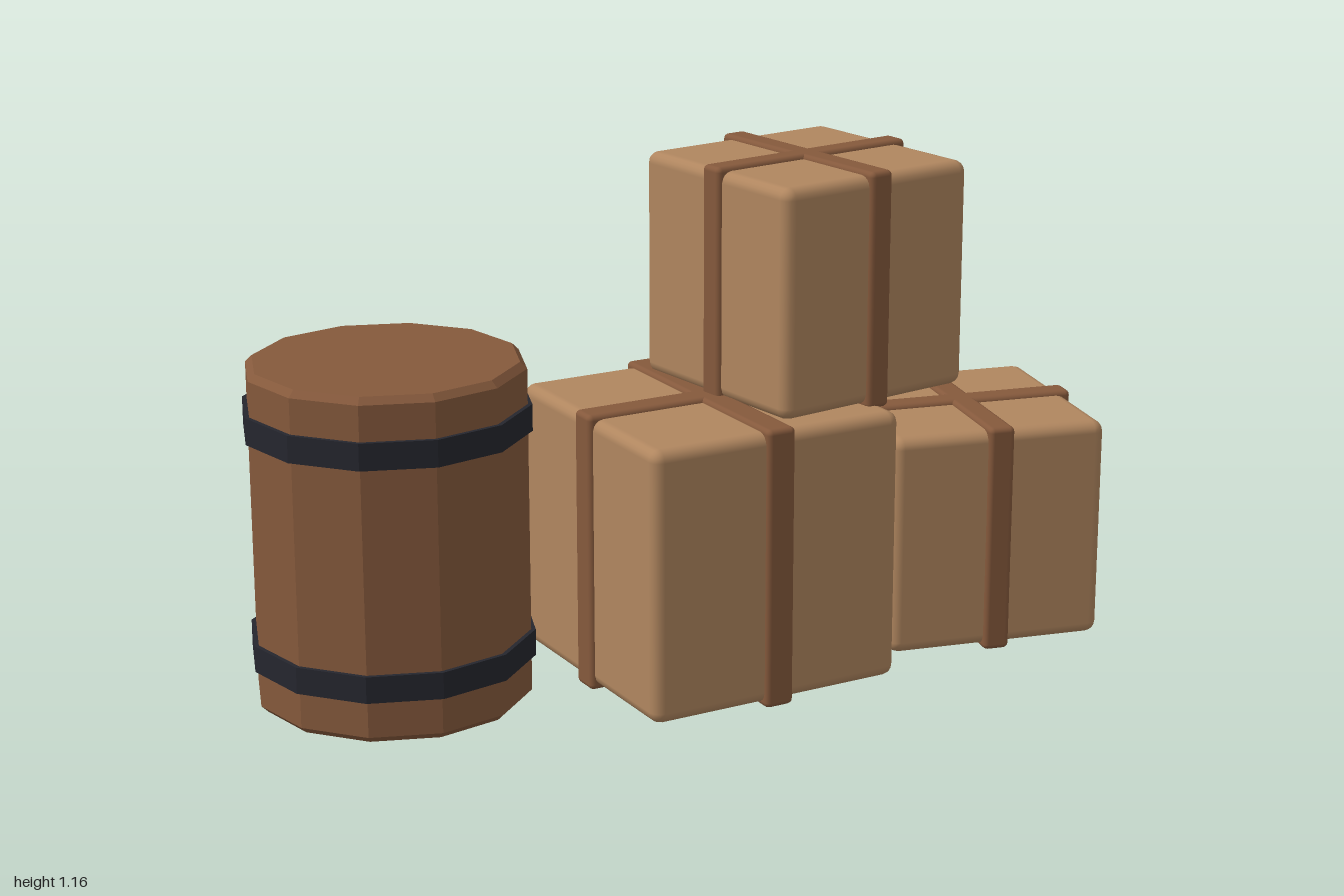
import * as THREE from 'three';
import { RoundedBoxGeometry } from 'three/addons/geometries/RoundedBoxGeometry.js';

const material = (name, color) => {
  const m = new THREE.MeshStandardMaterial({ color });
  m.name = name;
  return m;
};

// Twelve-sided turned shape with faceted normals
function faceted(profile) {
  const points = profile.map(([r, y]) => new THREE.Vector2(r, y));
  const geometry = new THREE.LatheGeometry(points, 12).toNonIndexed();
  geometry.computeVertexNormals();
  return geometry;
}

export function createModel() {
  const crateTan = material('crate tan', 0xb0865f);
  const woodBrown = material('wood brown', 0x85593c);
  const ironBlack = material('dark iron', 0x25262e);

  const model = new THREE.Group();
  model.name = 'crateStack';

  const add = (parent, name, geometry, mat) => {
    const mesh = new THREE.Mesh(geometry, mat);
    mesh.name = name;
    parent.add(mesh);
    return mesh;
  };

  // Rounded crate wrapped by two crossing straps
  function addCrate(name, size, strapWidth, x, y, z, turn) {
    const crate = new THREE.Group();
    crate.name = name;
    crate.position.set(x, y, z);
    crate.rotation.y = turn;
    add(crate, 'crateBody', new RoundedBoxGeometry(size, size, size, 2, 0.026), crateTan);
    const outer = size + 0.02;
    for (const [strapName, angle] of [['lengthStrap', 0], ['crossStrap', Math.PI / 2]]) {
      const strap = add(crate, strapName,
        new RoundedBoxGeometry(strapWidth, outer, outer, 2, 0.012), woodBrown);
      strap.rotation.y = angle;
    }
    model.add(crate);
  }
  addCrate('largeCrate', 0.62, 0.07, 0.038, 0.32, 0.043, 0.085);
  addCrate('topCrate', 0.515, 0.06, 0.299, 0.889, -0.005, 0.21);
  addCrate('sideCrate', 0.515, 0.062, 0.711, 0.268, -0.005, -0.14);

  // Barrel with chamfered rims
  const barrel = new THREE.Group();
  barrel.name = 'barrel';
  barrel.position.set(-0.682, 0, -0.06);
  const r = 0.308;
  add(barrel, 'barrelBody', faceted([
    [0, 0.01], [r - 0.015, 0.01], [r, 0.025], [r, 0.763], [r - 0.015, 0.778], [0, 0.778],
  ]), woodBrown);

  // Iron hoops
  for (const [name, y] of [['lowerHoop', 0.137], ['upperHoop', 0.654]]) {
    const hoop = add(barrel, name, faceted([
      [r - 0.01, -0.03], [0.318, -0.03], [0.318, 0.03], [r - 0.01, 0.03],
    ]), ironBlack);
    hoop.position.y = y;
  }
  model.add(barrel);

  return model;
}
